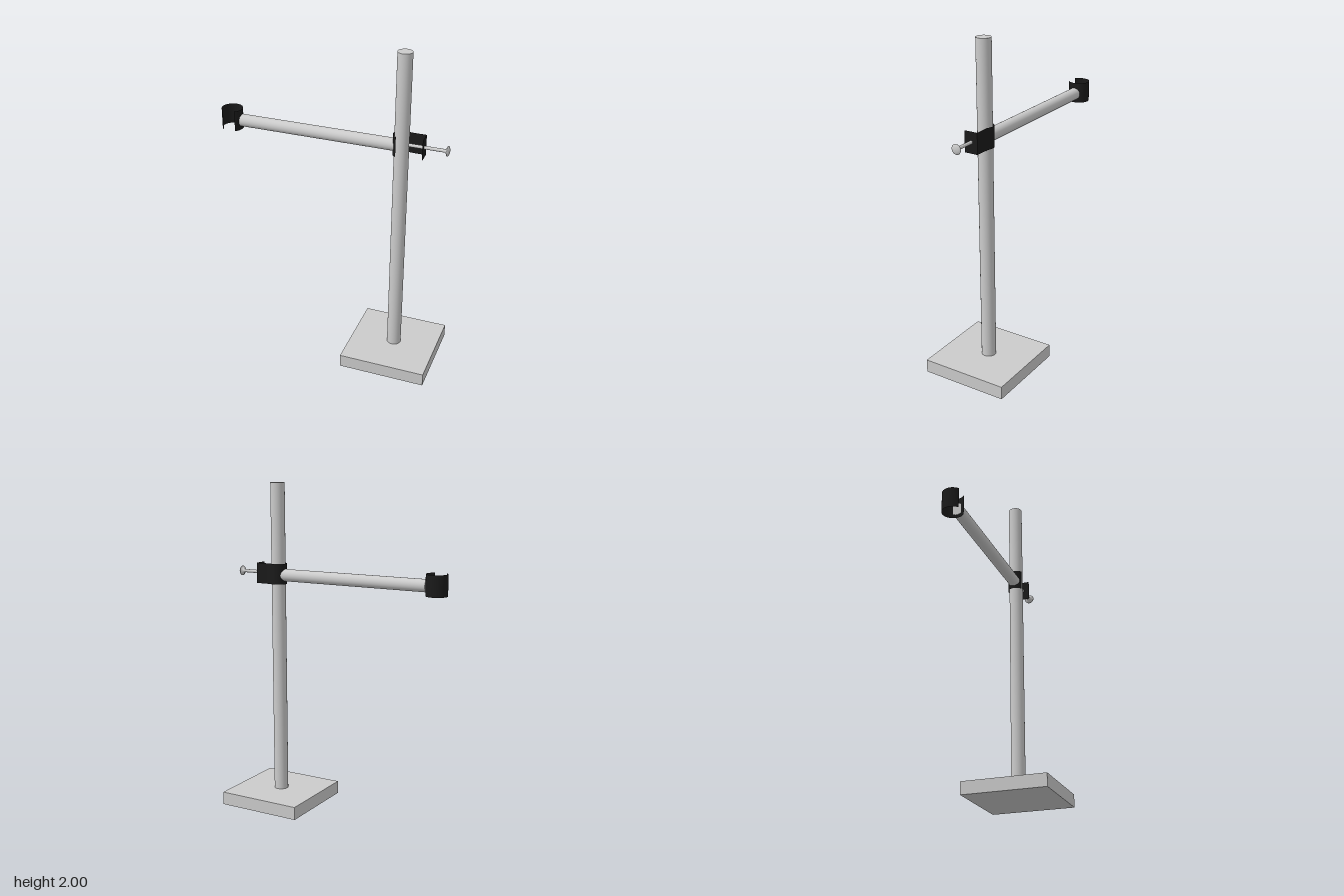
import * as THREE from 'three';

const grey = new THREE.MeshStandardMaterial({ color: 0xcccccc });
const black = new THREE.MeshStandardMaterial({ color: 0x1a1a1a, side: THREE.DoubleSide });

// points [x, z] on an arc, angles in degrees
function arc(cx, r, from, to, n) {
  return Array.from({ length: n + 1 }, (_, i) => {
    const a = THREE.MathUtils.degToRad(from + (to - from) * i / n);
    return [cx + r * Math.cos(a), r * Math.sin(a)];
  });
}

// thin upright sheet following a path of [x, z] points
function sheet(path, y0, y1) {
  const pos = [], index = [];
  path.forEach(([x, z], i) => {
    pos.push(x, y0, z, x, y1, z);
    if (i) {
      const a = 2 * i - 2;
      index.push(a, a + 1, a + 2, a + 1, a + 3, a + 2);
    }
  });
  const g = new THREE.BufferGeometry();
  g.setAttribute('position', new THREE.Float32BufferAttribute(pos, 3));
  g.setIndex(index);
  g.computeVertexNormals();
  return g;
}

export function createModel() {
  const model = new THREE.Group();
  const add = (name, geometry, material, parent = model) => {
    const mesh = new THREE.Mesh(geometry, material);
    mesh.name = name;
    parent.add(mesh);
    return mesh;
  };
  const poleX = 0.415, bottom = 1.39, top = 1.515;

  // square base and upright pole
  add('base', new THREE.BoxGeometry(0.53, 0.08, 0.53), grey).position.set(poleX, 0.04, 0);
  add('pole', new THREE.CylinderGeometry(0.043, 0.043, 1.92, 32), grey).position.set(poleX, 1.04, 0);

  // horizontal arm, from the holder ring to the clamp
  const arm = add('arm', new THREE.CylinderGeometry(0.037, 0.037, 0.956, 32), grey);
  arm.rotation.z = Math.PI / 2;
  arm.position.set(-0.098, 1.445, 0);

  // open holder ring, gap towards the front
  add('holderRing', sheet(arc(-0.634, 0.063, 125, 415, 28), bottom, top), black);

  // clamp strip wrapped around the back of the pole, with a bent flange
  const clamp = new THREE.Group();
  clamp.name = 'clamp';
  model.add(clamp);
  const wrap = [...arc(poleX, 0.051, 116, 285, 16), [0.455, -0.042], [0.48, -0.04], [0.547, -0.04]];
  add('clampStrip', sheet(wrap, bottom, top), black, clamp);
  add('clampFlange', sheet([[0.547, -0.04], [0.547, 0.043]], bottom, top), black, clamp);

  // tightening screw: shank pressing on the pole, then a flared, domed head
  const profile = [[0, 0], [0.01, 0], [0.01, 0.212], [0.028, 0.222], [0.03, 0.226],
    [0.026, 0.231], [0.014, 0.235], [0, 0.236]].map(p => new THREE.Vector2(...p));
  const screw = add('screw', new THREE.LatheGeometry(profile, 24), grey);
  screw.rotation.z = -Math.PI / 2;
  screw.position.set(0.456, 1.455, 0);

  return model;
}
